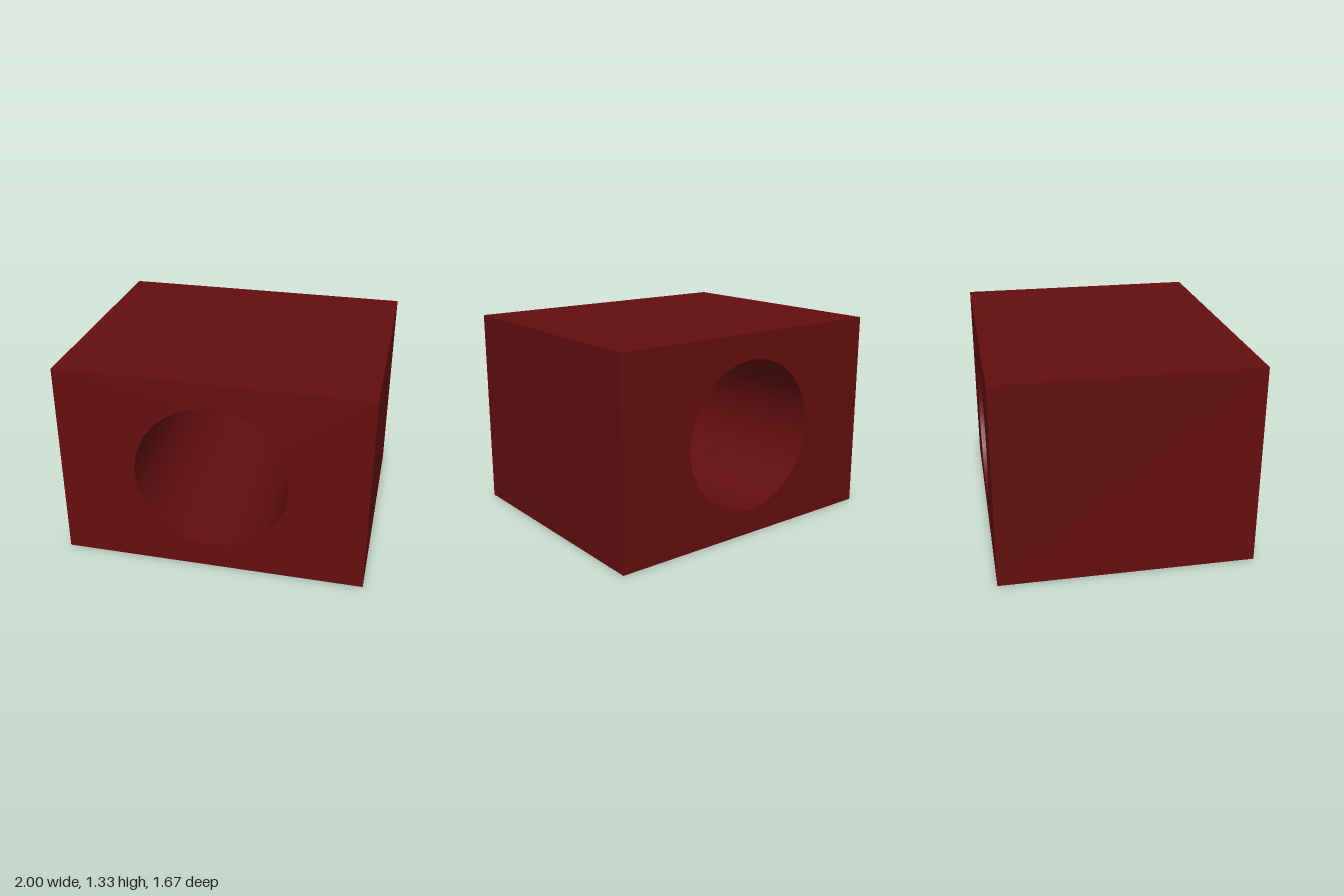
import * as THREE from 'three';
import { toCreasedNormals } from 'three/addons/utils/BufferGeometryUtils.js';

const WIDTH = 2, HEIGHT = 4 / 3, DEPTH = 5 / 3, HOLE_RADIUS = 0.5;

export function createModel() {
  const group = new THREE.Group();
  group.name = 'boredBlock';

  // Rectangular front outline standing on y = 0
  const outline = new THREE.Shape([
    new THREE.Vector2(-WIDTH / 2, 0),
    new THREE.Vector2(WIDTH / 2, 0),
    new THREE.Vector2(WIDTH / 2, HEIGHT),
    new THREE.Vector2(-WIDTH / 2, HEIGHT),
  ]);

  // Round 24-sided bore through the middle, from front to back
  const bore = new THREE.Path();
  bore.absarc(0, HEIGHT / 2, HOLE_RADIUS, 0, Math.PI * 2, true);
  outline.holes.push(bore);

  // curveSegments is doubled for a full circle
  const extruded = new THREE.ExtrudeGeometry(outline, {
    depth: DEPTH, bevelEnabled: false, curveSegments: 12,
  });
  extruded.translate(0, 0, -DEPTH / 2);

  // Smooth bore wall, sharp block edges
  const block = new THREE.Mesh(
    toCreasedNormals(extruded, Math.PI / 6),
    new THREE.MeshStandardMaterial({ color: 0x640e0e }),
  );
  block.name = 'blockWithRoundHole';
  group.add(block);

  return group;
}
